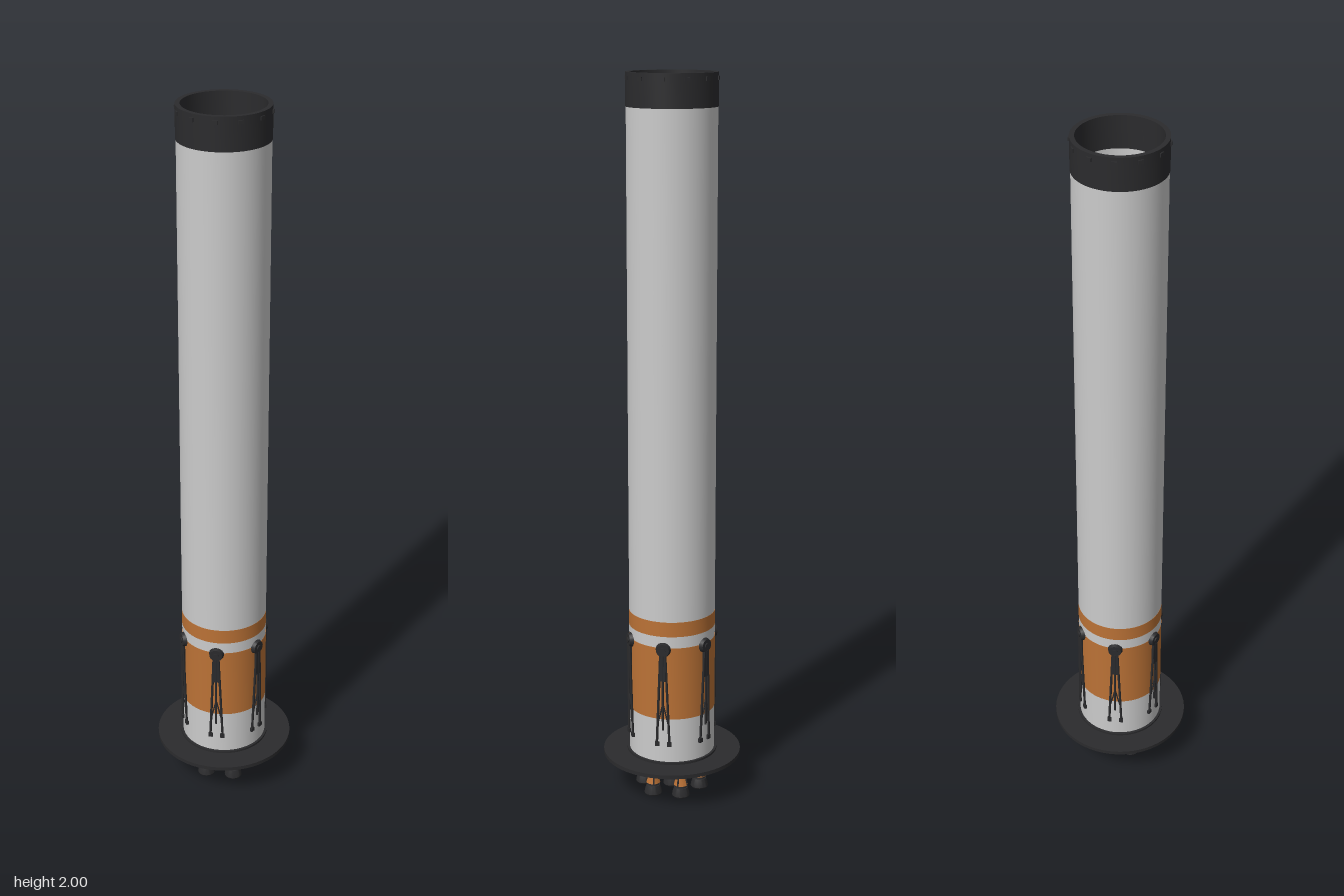
import * as THREE from 'three';
import { toCreasedNormals } from 'three/addons/utils/BufferGeometryUtils.js';

const mat = (color) => new THREE.MeshStandardMaterial({ color });
const white = mat(0xcccccc);
const orange = mat(0xbb7236);
const black = mat(0x2b2b2d);
const steel = mat(0x888888);

function add(parent, name, geometry, material, x = 0, y = 0, z = 0) {
  const mesh = new THREE.Mesh(geometry, material);
  mesh.name = name;
  mesh.position.set(x, y, z);
  parent.add(mesh);
  return mesh;
}

// Revolved profile of [radius, height] points with crisp edges
function turned(points, segments = 64) {
  const profile = points.map(([r, y]) => new THREE.Vector2(r, y));
  return toCreasedNormals(new THREE.LatheGeometry(profile, segments), 0.6);
}

// Hollow ring with a rectangular section
function sleeve(inner, outer, y0, y1) {
  return turned([[inner, y0], [outer, y0], [outer, y1], [inner, y1], [inner, y0]]);
}

// Round bar between two points
function bar(parent, name, a, b, radius) {
  const from = new THREE.Vector3(...a);
  const to = new THREE.Vector3(...b);
  const dir = to.clone().sub(from);
  const mesh = add(parent, name, new THREE.CylinderGeometry(radius, radius, dir.length(), 8), black);
  mesh.position.copy(from).add(to).multiplyScalar(0.5);
  mesh.quaternion.setFromUnitVectors(new THREE.Vector3(0, 1, 0), dir.normalize());
}

// Folded support leg lying against the hull, facing +z
function makeLeg() {
  const leg = new THREE.Group();
  leg.name = 'foldedLeg';
  const hub = add(leg, 'legHub', new THREE.CylinderGeometry(0.018, 0.022, 0.012, 20), black, 0, 0.455, 0.123);
  hub.rotation.x = Math.PI / 2;
  const pin = add(leg, 'hubPin', new THREE.CylinderGeometry(0.008, 0.008, 0.004, 12), black, 0, 0.455, 0.13);
  pin.rotation.x = Math.PI / 2;
  add(leg, 'legNeck', new THREE.BoxGeometry(0.018, 0.08, 0.008), black, 0, 0.405, 0.125);
  bar(leg, 'piston', [0, 0.44, 0.127], [0, 0.22, 0.126], 0.003);
  for (const s of [-1, 1]) {
    bar(leg, 'legStrut', [s * 0.007, 0.44, 0.126], [s * 0.018, 0.175, 0.122], 0.0035);
    bar(leg, 'legBrace', [0, 0.3, 0.126], [s * 0.016, 0.23, 0.123], 0.002);
    add(leg, 'strutFoot', new THREE.BoxGeometry(0.012, 0.012, 0.008), black, s * 0.017, 0.176, 0.121);
  }
  return leg;
}

// Engine: mounting ball, thrust chamber and bell
function makeEngine() {
  const engine = new THREE.Group();
  engine.name = 'engine';
  add(engine, 'mountBall', new THREE.SphereGeometry(0.009, 16, 12), steel, 0, 0.094, 0);
  add(engine, 'thrustChamber', turned([
    [0, 0.092], [0.009, 0.092], [0.011, 0.07], [0.014, 0.055], [0.02, 0.034], [0, 0.034],
  ].reverse(), 24), orange);
  add(engine, 'chamberCollar', new THREE.CylinderGeometry(0.0135, 0.0135, 0.01, 20), black, 0, 0.065, 0);
  add(engine, 'throat', new THREE.CylinderGeometry(0.015, 0.017, 0.012, 20), black, 0, 0.031, 0);
  add(engine, 'bell', turned([
    [0.014, 0.028], [0.021, 0.001], [0.0235, 0], [0.025, 0.003], [0.023, 0.014], [0.019, 0.026], [0.014, 0.028],
  ], 28), black);
  for (const s of [-1, 1]) {
    bar(engine, 'feedPipe', [s * 0.008, 0.088, 0.009], [s * 0.014, 0.032, 0.013], 0.0025);
  }
  return engine;
}

export function createModel() {
  const model = new THREE.Group();
  model.name = 'booster';

  // Hollow hull, open at the top
  add(model, 'hull', sleeve(0.113, 0.12, 0.105, 1.915), white);
  add(model, 'topCollar', sleeve(0.109, 0.1215, 1.912, 2), black);
  add(model, 'wideBand', sleeve(0.118, 0.1205, 0.25, 0.46), orange);
  add(model, 'narrowBand', sleeve(0.118, 0.1205, 0.493, 0.535), orange);

  // Base flange, tapered skirt and engine plate
  add(model, 'baseFlange', sleeve(0.1, 0.194, 0.105, 0.116), black);
  add(model, 'flangeRing', sleeve(0.118, 0.127, 0.114, 0.122), black);
  add(model, 'skirt', turned([
    [0, 0.085], [0.09, 0.085], [0.108, 0.107], [0.113, 0.112], [0.108, 0.112], [0.088, 0.092], [0, 0.092],
  ]), black);

  // Small tabs around the collar
  for (let i = 0; i < 12; i++) {
    const a = (i * Math.PI) / 6;
    const tab = add(model, 'collarTab', new THREE.BoxGeometry(0.014, 0.01, 0.006), black,
      0.1215 * Math.sin(a), 1.985, 0.1215 * Math.cos(a));
    tab.rotation.y = a;
  }

  // Six legs and a ring of six engines around a central one
  model.add(makeEngine());
  for (let i = 0; i < 6; i++) {
    const a = (i * Math.PI) / 3;
    const leg = makeLeg();
    leg.rotation.y = a;
    model.add(leg);
    const engine = makeEngine();
    engine.position.set(0.08 * Math.cos(a), 0, 0.08 * Math.sin(a));
    engine.rotation.y = Math.PI / 2 - a;
    model.add(engine);
  }
  return model;
}
